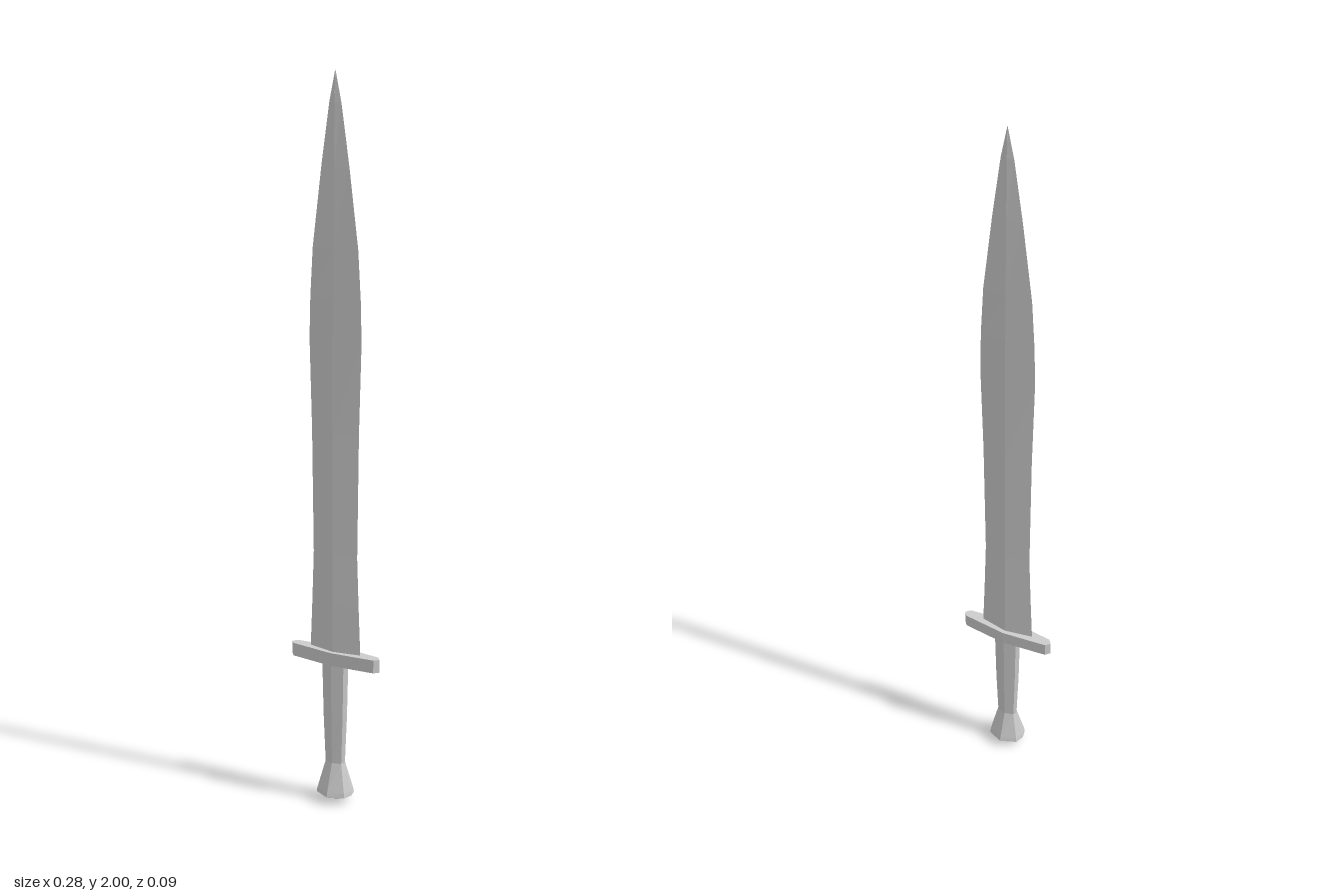
import * as THREE from 'three';

// Outlines of unit cross-sections, as [x, z] fractions of the half width and half depth
const DIAMOND = [[1, 0], [0, 1], [-1, 0], [0, -1]];
const OCTAGON = [[1, 0], [0.85, 0.57], [0, 1], [-0.85, 0.57], [-1, 0], [-0.85, -0.57], [0, -1], [0.85, -0.57]];
const BAR = [[1, 0], [0.92, 0.5], [0, 1], [-0.92, 0.5], [-1, 0], [-0.92, -0.5], [0, -1], [0.92, -0.5]];

// Skins rings [y, halfWidth, halfDepth], listed bottom to top, and caps both ends
function loft(name, outline, rings, material) {
  const n = outline.length;
  const positions = [];
  const index = [];
  for (const [y, w, d] of rings) {
    for (const [x, z] of outline) positions.push(x * w, y, z * d);
  }
  for (let r = 0; r < rings.length - 1; r++) {
    for (let i = 0; i < n; i++) {
      const a = r * n + i;
      const b = r * n + (i + 1) % n;
      index.push(a, a + n, b, b, a + n, b + n);
    }
  }
  const bottom = rings.length * n;
  const top = (rings.length - 1) * n;
  positions.push(0, rings[0][0], 0, 0, rings[rings.length - 1][0], 0);
  for (let i = 0; i < n; i++) {
    const j = (i + 1) % n;
    index.push(bottom, i, j, bottom + 1, top + j, top + i);
  }
  const indexed = new THREE.BufferGeometry();
  indexed.setAttribute('position', new THREE.Float32BufferAttribute(positions, 3));
  indexed.setIndex(index);
  const geometry = indexed.toNonIndexed();
  geometry.computeVertexNormals();
  const mesh = new THREE.Mesh(geometry, material);
  mesh.name = name;
  return mesh;
}

export function createModel() {
  const group = new THREE.Group();
  group.name = 'sword';
  const metal = new THREE.MeshStandardMaterial({ color: 0xcccccc, flatShading: true });

  // Leaf-shaped blade with a central ridge
  group.add(loft('blade', DIAMOND, [
    [0.44, 0.08, 0.015],
    [0.58, 0.074, 0.015],
    [0.72, 0.069, 0.014],
    [1.06, 0.073, 0.014],
    [1.31, 0.08, 0.013],
    [1.42, 0.077, 0.012],
    [1.55, 0.069, 0.01],
    [1.76, 0.042, 0.007],
    [1.92, 0.018, 0.004],
    [2.0, 0.0005, 0.0005],
  ], metal));

  // Cross guard, tapering to blunt points
  group.add(loft('guard', BAR, [[0.408, 0.14, 0.027], [0.445, 0.14, 0.027]], metal));

  // Grip, narrowing toward the pommel
  group.add(loft('grip', OCTAGON, [
    [0.115, 0.03, 0.018],
    [0.25, 0.036, 0.021],
    [0.41, 0.04, 0.023],
  ], metal));

  // Flared pommel with a shallow pointed base
  group.add(loft('pommel', OCTAGON, [
    [0, 0.0005, 0.0005],
    [0.022, 0.053, 0.047],
    [0.035, 0.051, 0.044],
    [0.115, 0.03, 0.018],
  ], metal));

  return group;
}
